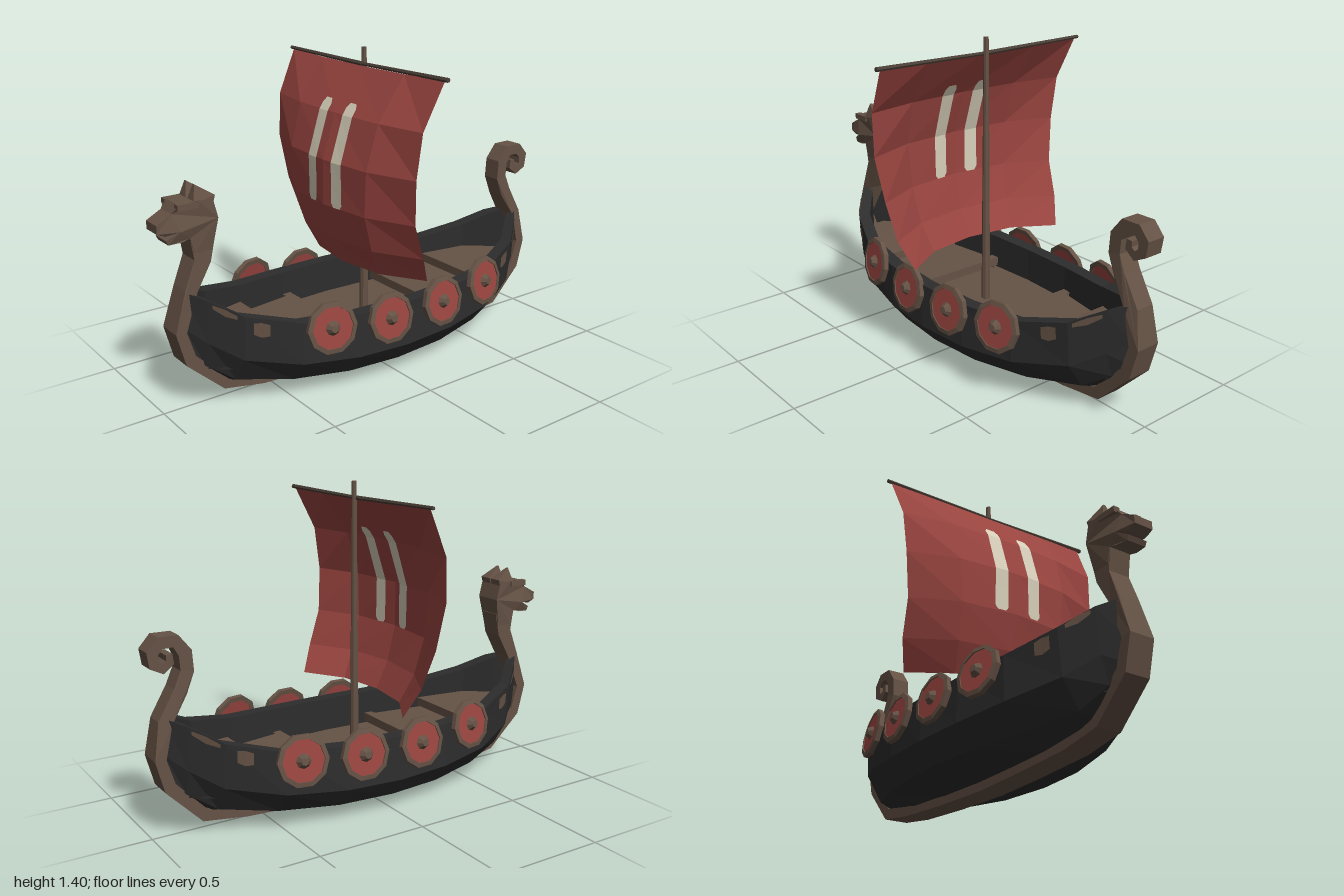
import * as THREE from 'three';

const mat = (name, color) => new THREE.MeshStandardMaterial({ name, color, flatShading: true, side: THREE.DoubleSide });
const wood = mat('brown wood', 0x655245);
const darkWood = mat('dark wood', 0x4a3f37);
const tar = mat('black planking', 0x2d2d2d);
const red = mat('red cloth and paint', 0x9a4540);
const cream = mat('cream paint', 0xd8d0ba);

// Flat-shaded surface through rows of [x, y, z] points
function loft(rows) {
  const p = [];
  for (let i = 0; i < rows.length - 1; i++)
    for (let j = 0; j < rows[i].length - 1; j++) {
      const a = rows[i][j], b = rows[i][j + 1], c = rows[i + 1][j + 1], d = rows[i + 1][j];
      p.push(...a, ...b, ...c, ...a, ...c, ...d);
    }
  const g = new THREE.BufferGeometry();
  g.setAttribute('position', new THREE.Float32BufferAttribute(p, 3));
  g.computeVertexNormals();
  return g;
}

// Side outline in (z, y) extruded across x; widthAt(y, z) gives the thickness
function slab(points, widthAt) {
  const shape = new THREE.Shape(points.map(([z, y]) => new THREE.Vector2(z, y)));
  const g = new THREE.ExtrudeGeometry(shape, { depth: 1, bevelEnabled: false });
  g.translate(0, 0, -0.5).rotateY(-Math.PI / 2);
  const p = g.attributes.position;
  for (let i = 0; i < p.count; i++) p.setX(i, p.getX(i) * widthAt(p.getY(i), p.getZ(i)));
  g.computeVertexNormals();
  return g;
}

// Closed outline around a centreline of [z, y, width]
function band(line) {
  const left = [], right = [];
  line.forEach(([z, y, w], i) => {
    const a = line[Math.max(i - 1, 0)], b = line[Math.min(i + 1, line.length - 1)];
    const dz = b[0] - a[0], dy = b[1] - a[1], l = Math.hypot(dz, dy);
    left.push([z - dy / l * w / 2, y + dz / l * w / 2]);
    right.unshift([z + dy / l * w / 2, y - dz / l * w / 2]);
  });
  return [...left, ...right];
}

// Hull stations: z, rim x, rim y, side x, side y, chine x, chine y, bottom y
const half = [
  [0, .34, .355, .35, .16, .28, .07, .03],
  [.25, .328, .358, .335, .165, .26, .072, .035],
  [.5, .288, .37, .285, .185, .2, .085, .045],
  [.72, .2, .425, .185, .23, .11, .115, .07],
  [.83, .11, .49, .095, .3, .06, .19, .15],
  [.9, .035, .52, .035, .36, .03, .26, .22],
];
const stations = [...half.slice(1).reverse().map(([z, ...r]) => [-z * 1.045, ...r]), ...half];
function station(z) {
  const i = Math.max(0, Math.min(stations.length - 2, stations.findIndex(s => s[0] > z) - 1));
  const a = stations[i], b = stations[i + 1], t = (z - a[0]) / (b[0] - a[0]);
  return a.map((v, k) => v + (b[k] - v) * t);
}

// Sail rows from head to foot: y, half width, edge z, middle z
const sailRows = [
  [1.335, .53, -.01, 0], [1.14, .515, .083, .135], [.945, .5, .1, .2],
  [.745, .47, .075, .2], [.585, .455, .015, .16], [.462, .41, -.045, .1],
];
const columns = [-1, -.55, 0, .55, 1];
const bulge = u => {
  const a = Math.abs(u);
  return a < .55 ? 1 - a / .55 * .22 : .78 * (1 - a) / .45;
};

export function createModel() {
  const ship = new THREE.Group();
  ship.name = 'longship';
  const add = (name, geometry, material, parent = ship) => {
    const m = new THREE.Mesh(geometry, material);
    m.name = name;
    parent.add(m);
    return m;
  };

  // Hull shell with thick rim and inner walls
  add('hull', loft(stations.map(([z, tx, ty, mx, my, cx, cy, ky]) => {
    const ix = Math.max(0, tx - .062);
    const side = [[cx, cy], [mx, my], [tx, ty], [ix, ty], [ix, Math.max(.17, ky)]];
    return [
      ...side.map(([x, y]) => [-x, y, z]).reverse(), [0, ky, z],
      ...side.map(([x, y]) => [x, y, z]),
    ];
  })), tar);

  // Floor amidships with a raised deck at each end
  const deckLine = [[-.89, .31], [-.75, .31], [-.55, .29], [-.55, .2], [-.26, .2], [0, .2],
    [.25, .2], [.5, .2], [.5, .29], [.72, .31], [.85, .31]];
  add('deck', loft(deckLine.map(([z, y]) => {
    const x = Math.max(.01, station(z)[1] - .06);
    return [[-x, y, z], [x, y, z]];
  })), wood);

  // Low platforms fore and aft of the mast, narrowing with the hull
  for (const [z0, z1] of [[-.55, -.26], [.21, .5]])
    add('platform', loft([z0, z1].map(z => {
      const x = station(z)[1] - .085;
      return [[-x, .2, z], [-x, .25, z], [x, .25, z], [x, .2, z]];
    })), wood);
  for (const z of [-.28, .23])
    add('crossBeam', new THREE.BoxGeometry(2 * (station(z)[1] - .06), .04, .04).translate(0, .23, z), wood);

  // Keel, both posts and the curled stern in one continuous timber
  add('keelAndPosts', slab(band([
    [.81, .74, .11], [.815, .64, .075], [.872, .52, .055], [.928, .355, .048], [.892, .228, .054],
    [.735, .082, .052], [.555, .046, .044], [.25, .031, .046], [0, .025, .05], [-.3, .031, .046],
    [-.59, .046, .044], [-.785, .075, .052], [-.932, .228, .054], [-.967, .35, .048], [-.938, .5, .055],
    [-.865, .62, .06], [-.832, .7, .058], [-.837, .775, .058], [-.875, .828, .052], [-.94, .828, .052],
    [-.974, .79, .05], [-.968, .742, .045], [-.932, .722, .04], [-.902, .745, .035], [-.905, .778, .028],
  ]), (y, z) => y < .5 ? .115 : z < 0 ? .085 : .1), wood);

  // Carved beast head on the bow
  const head = new THREE.Group();
  head.name = 'beastHead';
  ship.add(head);
  add('skull', slab([
    [.77, .68], [.745, .81], [.765, .89], [.83, .895], [.91, .89], [.935, .855], [1, .82],
    [1, .785], [.965, .77], [.91, .782], [.965, .752], [.955, .732], [.9, .735], [.865, .745], [.85, .68],
  ], (y, z) => z > .92 ? .09 : y > .78 ? .13 : .105), wood, head);
  for (const s of [-1, 1]) {
    const ear = add('ear', slab([[.765, .87], [.755, .905], [.83, .955], [.85, .88]],
      y => y > .93 ? .012 : .06), wood, head);
    ear.position.x = s * .034;
    add('brow', new THREE.BoxGeometry(.03, .025, .09).translate(s * .055, .88, .875), wood, head);
  }

  // Mast and yard
  add('mast', new THREE.CylinderGeometry(.011, .02, 1.21, 8).translate(0, .8, -.02), wood);
  for (const s of [-1, 1]) {
    const spar = add('yard', new THREE.CylinderGeometry(.008, .01, .55, 6).rotateZ(Math.PI / 2), darkWood);
    spar.position.set(s * .274, 1.337, -.01);
    spar.rotation.z = s * .012;
  }

  // Billowing sail
  add('sail', loft(sailRows.map(([y, w, e, m], i) =>
    columns.map(u => [u * w, y + (i === 0 ? -.008 * (1 - u * u) : 0), e + (m - e) * bulge(u)]))), red);

  // Two pale painted bars on both faces of the sail
  const onSail = (x, y, lift) => {
    const i = Math.max(0, sailRows.findIndex(r => r[0] <= y) - 1);
    const a = sailRows[i], b = sailRows[i + 1], t = (a[0] - y) / (a[0] - b[0]);
    const [, w, e, m] = a.map((v, k) => v + (b[k] - v) * t);
    return [x, y, e + (m - e) * bulge(x / w) + lift];
  };
  for (const x of [-.078, .093])
    for (const lift of [-.007, .007])
      add('sailStripe', loft([1.19, 1.17, 1.14, 1.04, .945, .85, .765, .748].map((y, i) => {
        const w = i === 0 || i === 7 ? .02 : .032;
        return [onSail(x - w, y, lift), onSail(x + w, y, lift)];
      })), cream);

  // Round shields hung along both sides, leaning in at the top
  const disc = (r1, r2, t, n, x) =>
    new THREE.CylinderGeometry(r1, r2, t, n).rotateZ(-Math.PI / 2).translate(x, 0, 0);
  const rimProfile = [[.09, -.012], [.112, -.012], [.112, .009], [.092, .013], [.09, -.012]];
  for (const s of [-1, 1])
    for (const [z, y, x, turn] of [[.387, .335, .326, .17], [.1, .312, .35, .05], [-.19, .316, .35, -.05], [-.468, .335, .318, -.17]]) {
      const shield = new THREE.Group();
      shield.name = 'shield';
      shield.position.set(s * x, y, z);
      shield.rotation.set(0, s > 0 ? -turn : Math.PI + turn, .16);
      ship.add(shield);
      add('shieldFace', disc(.093, .093, .016, 10, 0), red, shield);
      add('shieldRim', new THREE.LatheGeometry(rimProfile.map(p => new THREE.Vector2(...p)), 10)
        .rotateZ(-Math.PI / 2), wood, shield);
      add('shieldBoss', disc(.016, .034, .024, 8, .018), wood, shield);
    }

  // Worn bare-wood patches near the ends of the hull
  const onHull = (z, t, s) => {
    const [, tx, ty, mx, my] = station(z);
    return [s * (mx + (tx - mx) * t + .007), my + (ty - my) * t, z];
  };
  for (const s of [-1, 1])
    for (const [z0, z1, t0, t1] of [[.63, .69, .58, .92], [.745, .82, .82, .98], [-.71, -.65, .58, .92], [-.86, -.77, .82, .98]])
      add('wornPatch', loft([z0, (z0 + z1) / 2, z1].map((z, i) => {
        const d = i === 1 ? 0 : .05;
        return [onHull(z, t0 + d, s), onHull(z, t1 - d / 2, s)];
      })), wood);

  return ship;
}
